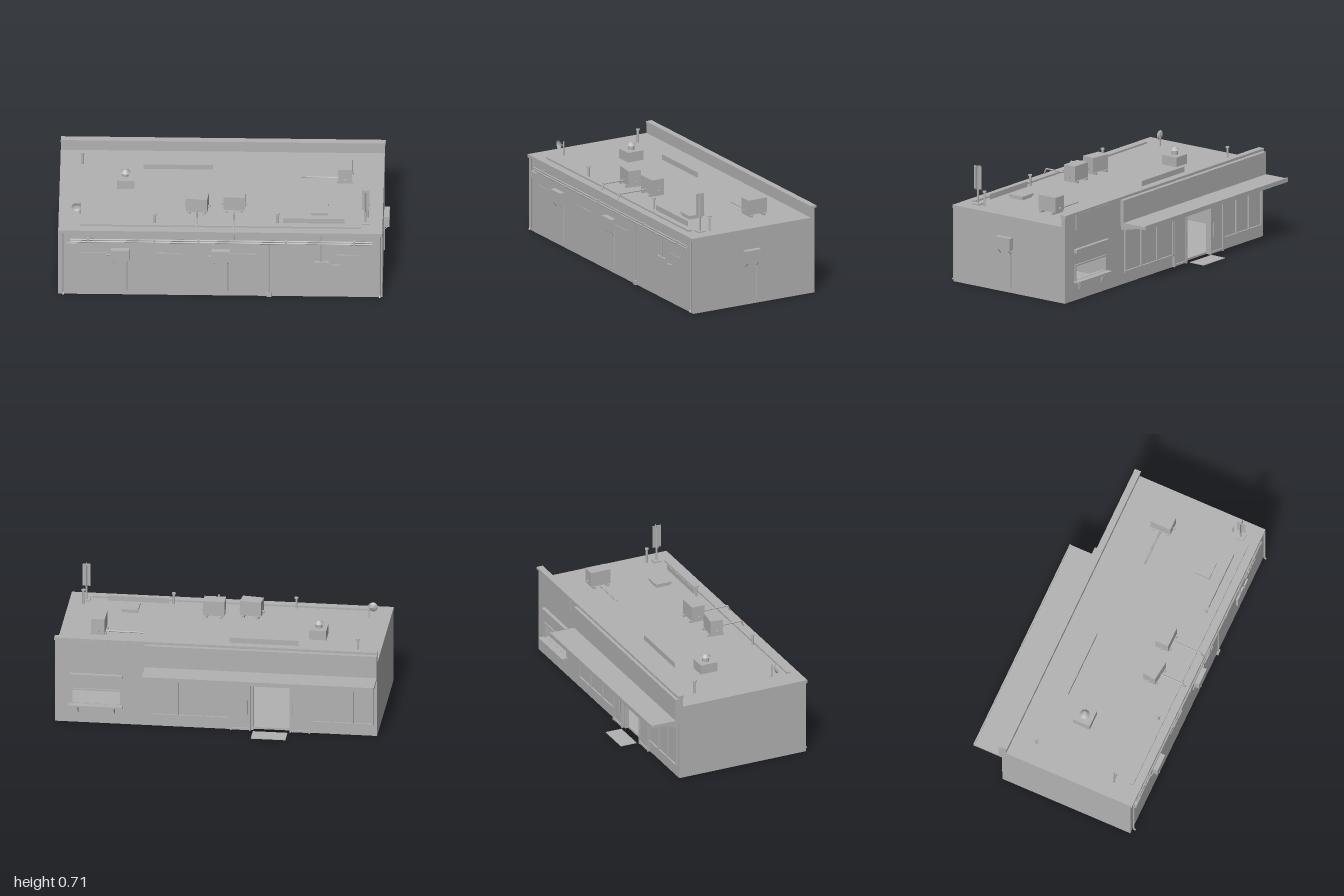
import * as THREE from 'three';

export function createModel() {
  const root = new THREE.Group();
  const grey = new THREE.MeshStandardMaterial({ color: 0xb2b2b2, side: THREE.DoubleSide });
  grey.name = 'plain grey';

  const add = (name, geo, parent = root) => {
    const m = new THREE.Mesh(geo, grey);
    m.name = name;
    parent.add(m);
    return m;
  };
  // box given by its limits on each axis
  const box = (name, x0, x1, y0, y1, z0, z1, parent) => {
    const m = add(name, new THREE.BoxGeometry(x1 - x0, y1 - y0, z1 - z0), parent);
    m.position.set((x0 + x1) / 2, (y0 + y1) / 2, (z0 + z1) / 2);
    return m;
  };
  // straight round bar between two points
  const bar = (name, a, b, r = 0.004, parent = root) => {
    const path = new THREE.LineCurve3(new THREE.Vector3(...a), new THREE.Vector3(...b));
    return add(name, new THREE.TubeGeometry(path, 1, r, 8), parent);
  };
  const upright = (name, x, z, y0, y1, r, rTop = r, parent = root) => {
    const m = add(name, new THREE.CylinderGeometry(rTop, r, y1 - y0, 16), parent);
    m.position.set(x, (y0 + y1) / 2, z);
    return m;
  };

  // building shell
  box('floor', -1, 0.95, 0, 0.012, -0.33, 0.495);
  box('roof', -1, 0.95, 0.455, 0.475, -0.33, 0.495);
  box('frontWall', -1, 0.95, 0, 0.455, 0.475, 0.495);
  box('leftWall', 0.93, 0.95, 0, 0.475, -0.33, 0.495);
  box('rightWall', -1, -0.98, 0, 0.475, -0.33, 0.495);
  box('partitionUpper', 0.33, 0.35, 0.012, 0.455, -0.33, 0.23);
  box('partitionEnd', 0.33, 0.35, 0.012, 0.455, 0.35, 0.475);
  box('roofEdge', -1, 0.95, 0.455, 0.475, 0.495, 0.505);
  box('parapetCap', -1, 0.955, 0.535, 0.55, -0.36, -0.32);

  // shop wall with an entrance notch and a serving hatch
  const wall = new THREE.Shape();
  [[-1, 0], [-0.47, 0], [-0.47, 0.32], [-0.25, 0.32], [-0.25, 0], [0.95, 0], [0.95, 0.535], [-1, 0.535]]
    .forEach(([x, y], i) => (i ? wall.lineTo(x, y) : wall.moveTo(x, y)));
  const hatch = new THREE.Path();
  [[0.55, 0.125], [0.55, 0.215], [0.85, 0.215], [0.85, 0.125]]
    .forEach(([x, y], i) => (i ? hatch.lineTo(x, y) : hatch.moveTo(x, y)));
  hatch.closePath();
  wall.holes.push(hatch);
  add('shopWall', new THREE.ExtrudeGeometry(wall, { depth: 0.025, bevelEnabled: false })).position.z = -0.35;

  // framed shop windows
  function shopWindow(x0, x1, panes) {
    const g = new THREE.Group();
    g.name = 'shopWindow';
    root.add(g);
    box('glass', x0, x1, 0.075, 0.33, -0.353, -0.35, g);
    for (const y of [0.07, 0.325]) box('frameRail', x0, x1, y, y + 0.01, -0.363, -0.35, g);
    for (let i = 0; i <= panes; i++) {
      const x = x0 + 0.005 + (x1 - x0 - 0.01) * i / panes;
      box('mullion', x - 0.005, x + 0.005, 0.07, 0.335, -0.362, -0.35, g);
    }
  }
  shopWindow(-0.11, 0.37, 3);
  shopWindow(-0.98, -0.6, 3);

  // sliding doors beside the entrance
  for (const [x0, x1, hx] of [[-0.235, -0.11, -0.215], [-0.595, -0.47, -0.49]]) {
    box('doorPane', x0, x1, 0.01, 0.32, -0.358, -0.35);
    for (const x of [x0, x1 - 0.01]) box('doorStile', x, x + 0.01, 0, 0.33, -0.366, -0.35);
    for (const y of [0.005, 0.315]) box('doorRail', x0, x1, y, y + 0.012, -0.366, -0.35);
    bar('doorHandle', [hx, 0.11, -0.37], [hx, 0.2, -0.37]);
  }
  box('entranceLintel', -0.6, -0.11, 0.315, 0.34, -0.37, -0.35);
  box('doorMat', -0.46, -0.25, 0, 0.004, -0.48, -0.375);

  // canopy with fascia, braces and lamps
  box('canopy', -1, 0.405, 0.372, 0.39, -0.535, -0.35);
  box('canopyLip', -1, 0.405, 0.37, 0.397, -0.541, -0.533);
  box('canopyFascia', -1, 0.405, 0.39, 0.53, -0.375, -0.35);
  const brace = new THREE.Shape([[0.35, 0.34], [0.35, 0.372], [0.49, 0.372]].map(p => new THREE.Vector2(...p)));
  for (const x of [-0.99, -0.3, 0.39]) {
    const m = add('canopyBrace', new THREE.ExtrudeGeometry(brace, { depth: 0.01, bevelEnabled: false }));
    m.rotation.y = Math.PI / 2;
    m.position.x = x;
  }
  for (let i = 0; i < 4; i++) {
    const x = 0.14 - i * 0.34;
    box('canopyLamp', x - 0.1, x + 0.1, 0.366, 0.373, -0.46, -0.435);
  }

  // serving hatch and panels around it
  box('hatchShelf', 0.54, 0.865, 0.112, 0.123, -0.392, -0.345);
  for (const x of [0.59, 0.81]) {
    box('shelfBracket', x - 0.005, x + 0.005, 0.065, 0.112, -0.358, -0.35);
    bar('shelfStrut', [x, 0.07, -0.355], [x, 0.112, -0.383]);
  }
  for (const x of [0.545, 0.845]) box('hatchJamb', x, x + 0.01, 0.12, 0.22, -0.358, -0.35);
  box('hatchHead', 0.545, 0.855, 0.212, 0.222, -0.358, -0.35);
  box('hatchHood', 0.54, 0.86, 0.298, 0.32, -0.372, -0.35);
  box('wallPanel', 0.5, 0.845, 0.435, 0.532, -0.355, -0.35);

  // barred high windows on the front
  for (const x0 of [-0.87, -0.42, 0.03, 0.67]) {
    const w = x0 > 0.5 ? 0.14 : 0.16;
    box('highWindow', x0, x0 + w, 0.312, 0.39, 0.495, 0.497);
    for (let i = 0; i <= 5; i++) {
      const x = x0 + w * i / 5;
      box('windowBar', x - 0.002, x + 0.002, 0.31, 0.39, 0.495, 0.502);
    }
    box('windowSill', x0, x0 + w, 0.308, 0.313, 0.495, 0.503);
  }

  // pipework on the front
  for (const y of [0.395, 0.41]) bar('wallPipe', [-0.93, y, 0.504], [0.89, y, 0.504], 0.005);
  for (const x of [-0.82, -0.42, -0.155, 0.37, 0.78]) box('pipeClamp', x - 0.006, x + 0.006, 0.385, 0.418, 0.495, 0.511);
  for (const x of [-0.97, 0.935]) {
    bar('downpipe', [x, 0.02, 0.504], [x, 0.455, 0.504], 0.006);
    bar('downpipeFoot', [x, 0.02, 0.504], [x, 0.008, 0.513], 0.006);
  }
  bar('drainPipe', [0.27, 0.02, 0.501], [0.27, 0.39, 0.501]);
  box('drainBox', 0.255, 0.285, 0, 0.028, 0.495, 0.508);
  box('meterBox', 0.54, 0.63, 0.155, 0.262, 0.495, 0.508);
  box('smallMeterBox', 0.65, 0.695, 0.19, 0.24, 0.495, 0.506);
  for (const x of [0.578, 0.588]) bar('conduit', [x, 0.26, 0.499], [x, 0.45, 0.499], 0.003);
  box('junctionBox', -0.955, -0.89, 0.342, 0.385, 0.495, 0.515);

  // wall cooling units, built against a wall at local z = 0
  function wallCooler(x, z, turn) {
    const g = new THREE.Group();
    g.name = 'wallCooler';
    g.position.set(x, 0, z);
    g.rotation.y = turn;
    root.add(g);
    box('coolerCase', -0.055, 0.055, 0.272, 0.347, 0.004, 0.037, g);
    for (const sx of [-0.037, 0.04]) {
      box('coolerBracket', sx - 0.003, sx + 0.003, 0.266, 0.272, 0, 0.037, g);
      bar('bracketStrut', [sx, 0.24, 0.003], [sx, 0.27, 0.032], 0.003, g);
    }
    bar('coolerPipe', [0.043, 0.035, 0.004], [0.043, 0.28, 0.004], 0.004, g);
  }
  wallCooler(-0.627, 0.495, 0);
  wallCooler(-0.022, 0.495, 0);
  wallCooler(0.95, 0.097, Math.PI / 2);
  for (const x of [-0.71, -0.105]) bar('coolerInlet', [x, 0.295, 0.503], [x + 0.05, 0.295, 0.503]);

  // roof cooling units on feet
  function roofCooler(x, z, turn) {
    const g = new THREE.Group();
    g.name = 'roofCooler';
    g.position.set(x, 0.475, z);
    g.rotation.y = turn;
    root.add(g);
    box('coolerCase', -0.065, 0.065, 0.014, 0.107, -0.041, 0.041, g);
    for (const sx of [-0.045, 0.045]) box('coolerFoot', sx - 0.008, sx + 0.008, 0, 0.014, -0.05, 0.05, g);
    for (const sx of [-1, 1]) box('coolerLug', sx * 0.07 - 0.008, sx * 0.07 + 0.008, 0.03, 0.04, -0.006, 0.006, g);
  }
  roofCooler(-0.167, 0.278, -0.12);
  roofCooler(0.056, 0.255, 0);
  roofCooler(0.717, -0.065, Math.PI / 2);
  for (const [x, z] of [[-0.167, 0.475], [0.056, 0.492]]) {
    bar('coolerPipe', [x, 0.51, 0.3], [x, 0.51, z - 0.01], 0.005);
    bar('coolerPipeDrop', [x, 0.51, z - 0.01], [x, 0.475, z + 0.005], 0.005);
  }
  bar('dropPipe', [0.056, 0.475, 0.499], [0.056, 0.41, 0.499]);
  bar('coolerPipe', [0.45, 0.48, -0.065], [0.68, 0.48, -0.065], 0.005);

  // roof gutter, upstand strips and hatch
  box('roofGutter', -0.87, 0.82, 0.475, 0.486, 0.43, 0.455);
  box('upstand', -0.5, -0.08, 0.475, 0.508, -0.142, -0.138);
  box('upstand', 0.35, 0.72, 0.475, 0.508, 0.398, 0.402);
  box('roofHatchBase', 0.522, 0.613, 0.475, 0.488, 0.232, 0.323);
  box('roofHatchLid', 0.515, 0.62, 0.486, 0.5, 0.225, 0.33);

  // boxed ventilator
  box('ventBase', -0.655, -0.55, 0.475, 0.535, -0.055, 0.055).position.z = 0.015;
  upright('ventNeck', -0.605, 0.015, 0.535, 0.565, 0.02);
  upright('ventCap', -0.605, 0.015, 0.563, 0.582, 0.031, 0.012);

  // vent stacks
  for (const [x, z, h] of [[-0.865, -0.185, 0.56], [-0.42, 0.42, 0.545], [0.32, 0.4, 0.545], [0.86, 0.33, 0.57]]) {
    upright('ventStack', x, z, 0.475, h - 0.006, 0.007);
    upright('stackCap', x, z, h - 0.008, h, 0.012);
  }

  // dish on a mast
  upright('dishMast', -0.87, 0.33, 0.475, 0.56, 0.004);
  const dish = add('dish', new THREE.LatheGeometry(
    [[0, 0], [0.012, 0.002], [0.022, 0.006], [0.029, 0.012]].map(p => new THREE.Vector2(...p)), 24));
  dish.rotation.x = Math.PI / 2;
  dish.position.set(-0.893, 0.537, 0.338);
  bar('dishArm', [-0.87, 0.537, 0.33], [-0.893, 0.537, 0.338], 0.003);

  // crossed panel on a post
  box('postFoot', 0.825, 0.872, 0.475, 0.483, 0.365, 0.415);
  upright('panelPost', 0.848, 0.39, 0.475, 0.7, 0.006);
  box('postPanel', 0.825, 0.872, 0.57, 0.715, 0.389, 0.391);
  box('postPanel', 0.847, 0.849, 0.57, 0.715, 0.363, 0.418);

  return root;
}
